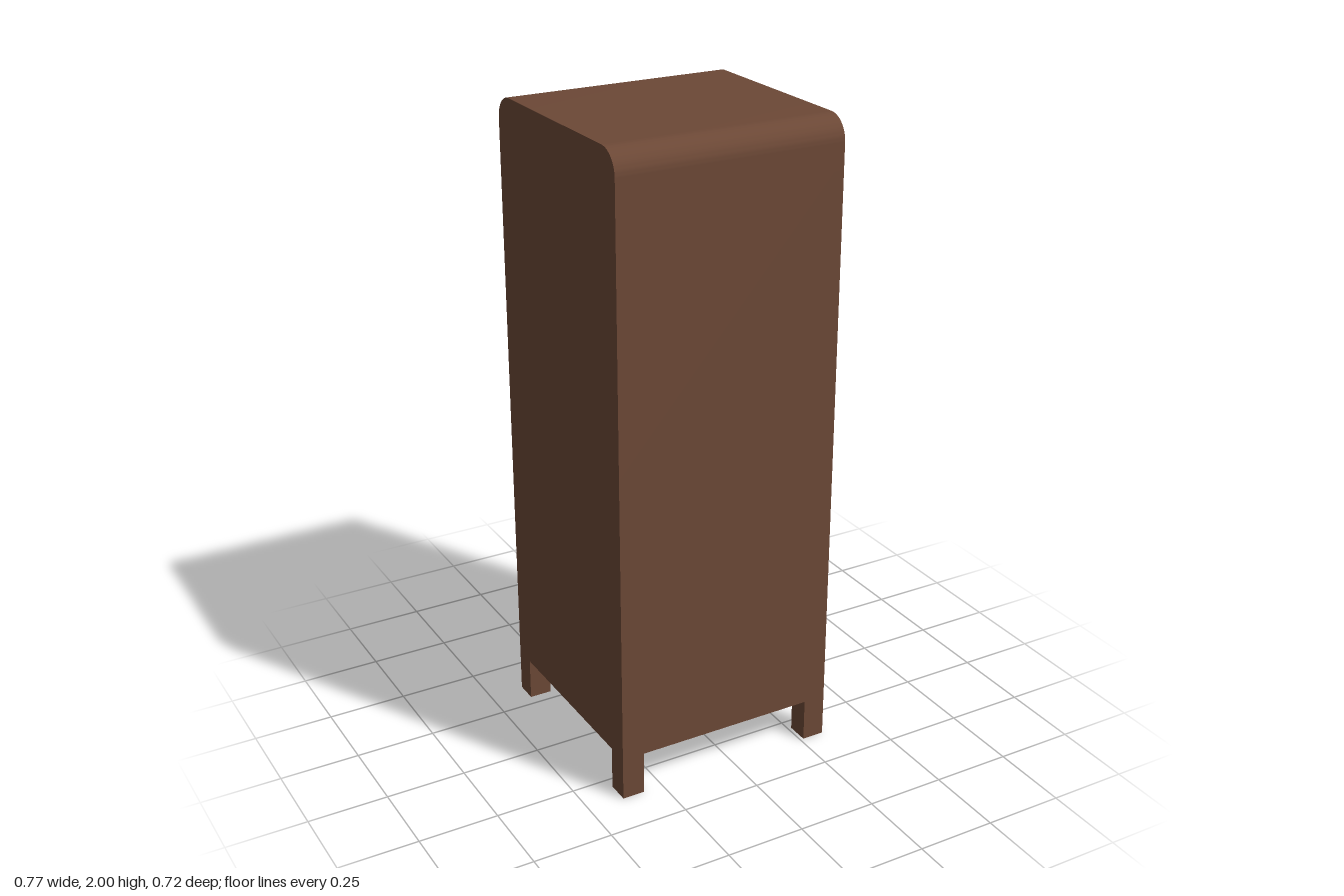
import * as THREE from 'three';
import { toCreasedNormals } from 'three/addons/utils/BufferGeometryUtils.js';

const material = (name, color) => {
  const m = new THREE.MeshStandardMaterial({ color });
  m.name = name;
  return m;
};

export function createModel() {
  const wood = material('brown wood', 0x6c4836);
  const grey = material('light grey', 0xcfcfcf);
  const black = material('handle black', 0x2e2e2e);
  const group = new THREE.Group();
  group.name = 'cabinet';

  const add = (name, geometry, mat, x = 0, y = 0, z = 0) => {
    const mesh = new THREE.Mesh(geometry, mat);
    mesh.name = name;
    mesh.position.set(x, y, z);
    group.add(mesh);
    return mesh;
  };

  const back = -0.385, front = 0.333, half = 0.359;
  const base = 0.137, top = 2, radius = 0.072, leg = 0.071;

  // Body: profile with rounded top corners, extruded from back to front along x
  const profile = new THREE.Shape();
  profile.moveTo(-half, base);
  profile.lineTo(half, base);
  profile.lineTo(half, top - radius);
  profile.absarc(half - radius, top - radius, radius, 0, Math.PI / 2, false);
  profile.lineTo(radius - half, top);
  profile.absarc(radius - half, top - radius, radius, Math.PI / 2, Math.PI, false);
  profile.closePath();
  const body = new THREE.ExtrudeGeometry(profile, {
    depth: front - back, bevelEnabled: false, curveSegments: 10,
  });
  body.rotateY(Math.PI / 2);
  add('body', toCreasedNormals(body, 0.6), wood, back);

  // Four square corner legs
  for (const x of [back + leg / 2, front - leg / 2]) {
    for (const side of [-1, 1]) {
      add('leg', new THREE.BoxGeometry(leg, base, leg), wood, x, base / 2, side * (half - leg / 2));
    }
  }

  // Door panel with wooden edges and a thin grey face
  const doorY = 1.061;
  add('doorPanel', new THREE.BoxGeometry(0.007, 1.758, 0.574), wood, front + 0.0035, doorY);
  add('doorFace', new THREE.BoxGeometry(0.002, 1.75, 0.567), grey, front + 0.007, doorY);

  // Pair of upright handles
  for (const side of [-1, 1]) {
    add('handle', new THREE.BoxGeometry(0.042, 0.167, 0.038), black, 0.361, 1.171, side * 0.048);
  }

  return group;
}
